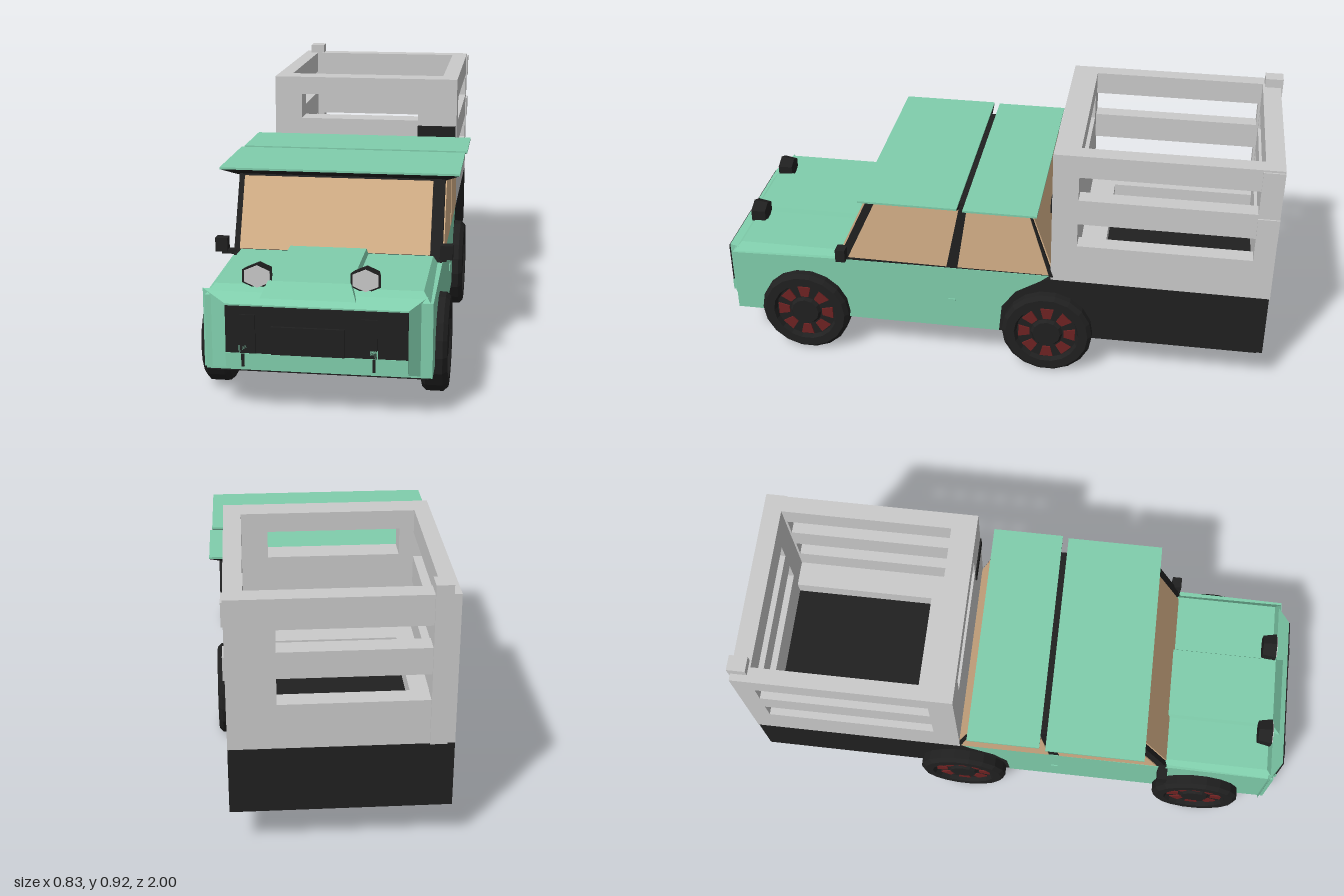
import * as THREE from 'three';

const mat = (name, color) => {
  const m = new THREE.MeshStandardMaterial({ color });
  m.name = name;
  return m;
};

export function createModel() {
  const green = mat('mint paint', 0x80ceac);
  const black = mat('black trim', 0x202020);
  const tan = mat('tan glass', 0xd6b188);
  const grey = mat('light grey', 0xcacaca);
  const red = mat('dark red', 0x6e2222);

  const truck = new THREE.Group();
  truck.name = 'pickupTruck';

  const add = (name, geometry, material, parent = truck) => {
    const mesh = new THREE.Mesh(geometry, material);
    mesh.name = name;
    parent.add(mesh);
    return mesh;
  };
  const facet = (g) => {
    const f = g.index ? g.toNonIndexed() : g;
    f.computeVertexNormals();
    return f;
  };
  // box given by its limits
  const box = (name, x0, x1, y0, y1, z0, z1, material, parent) => {
    const g = new THREE.BoxGeometry(x1 - x0, y1 - y0, z1 - z0);
    g.translate((x0 + x1) / 2, (y0 + y1) / 2, (z0 + z1) / 2);
    return add(name, g, material, parent);
  };
  // tapered block between rectangles [a0, a1, b0, b1] at two positions on an axis
  const loft = (name, axis, p0, rect0, p1, rect1, material) => {
    const g = new THREE.BoxGeometry(1, 1, 1);
    const p = g.attributes.position;
    for (let i = 0; i < p.count; i++) {
      const x = p.getX(i), y = p.getY(i), z = p.getZ(i);
      const along = axis === 'y' ? y : z, other = axis === 'y' ? z : y;
      const r = along > 0 ? rect1 : rect0, pos = along > 0 ? p1 : p0;
      const a = x > 0 ? r[1] : r[0], b = other > 0 ? r[3] : r[2];
      if (axis === 'y') p.setXYZ(i, a, pos, b);
      else p.setXYZ(i, a, b, pos);
    }
    return add(name, facet(g), material);
  };
  const polygon = (pts) => new THREE.Shape(pts.map((p) => new THREE.Vector2(p[0], p[1])));
  const rect = (a0, a1, b0, b1) => polygon([[a0, b0], [a1, b0], [a1, b1], [a0, b1]]);
  const extrude = (shape, depth) => new THREE.ExtrudeGeometry(shape, { depth, bevelEnabled: false });
  // side profile in (z, y), extruded between x0 and x1
  const profile = (name, shape, x0, x1, material) => {
    const g = extrude(shape, x1 - x0);
    g.rotateY(-Math.PI / 2);
    g.translate(x1, 0, 0);
    return add(name, g, material);
  };

  // lower body and rear chassis
  profile('body', polygon([[0.95, 0.142], [0.95, 0.385], [0.55, 0.395], [-0.22, 0.4],
    [-0.19, 0.375], [-0.1, 0.32], [-0.05, 0.25], [-0.04, 0.142]]), -0.357, 0.357, green);
  profile('rearChassis', polygon([[-0.04, 0.142], [-0.05, 0.25], [-0.1, 0.32], [-0.19, 0.375],
    [-0.22, 0.385], [-0.99, 0.382], [-0.99, 0.148]]), -0.355, 0.355, black);
  box('underbody', -0.345, 0.345, 0.138, 0.143, -0.97, 0.95, black);
  for (const s of [-1, 1]) box('doorLock', s * 0.358 - 0.003, s * 0.358 + 0.003, 0.24, 0.265, 0.12, 0.145, green);

  // hood with raised middle
  loft('hood', 'y', 0.383, [-0.357, 0.35, 0.5, 0.95], 0.415, [-0.33, 0.325, 0.5, 0.92], green);
  loft('hoodScoop', 'y', 0.385, [-0.18, 0.12, 0.52, 0.965], 0.432, [-0.16, 0.1, 0.52, 0.93], green);

  // nose, grille and bumper
  loft('nose', 'z', 0.93, [-0.368, 0.34, 0.14, 0.4], 0.985, [-0.285, 0.285, 0.162, 0.37], green);
  box('grille', -0.285, 0.285, 0.213, 0.365, 0.97, 0.99, black);
  box('grilleCentre', -0.14, 0.09, 0.215, 0.305, 0.985, 1, black);
  for (const x of [-0.24, 0.14]) box('grilleBlock', x, x + 0.05, 0.215, 0.34, 0.985, 0.996, black);
  box('bumper', -0.285, 0.285, 0.168, 0.213, 0.97, 0.992, green);
  for (const x of [-0.23, 0.18]) {
    box('bumperGap', x - 0.005, x + 0.005, 0.17, 0.213, 0.985, 0.995, black);
    box('bumperBracket', x - 0.012, x + 0.012, 0.213, 0.24, 0.985, 0.996, green);
  }

  // hexagonal headlights on the hood
  for (const x of [-0.195, 0.145]) {
    const lamp = new THREE.Group();
    lamp.name = 'headlight';
    lamp.position.set(x, 0.443, 0.9);
    truck.add(lamp);
    const shell = new THREE.CylinderGeometry(0.042, 0.034, 0.05, 6).rotateX(Math.PI / 2);
    const lens = new THREE.CylinderGeometry(0.036, 0.036, 0.006, 6).rotateX(Math.PI / 2);
    shell.scale(1.3, 1, 1);
    lens.scale(1.3, 1, 1);
    add('headlightShell', facet(shell), black, lamp);
    add('headlightLens', facet(lens), grey, lamp).position.z = 0.025;
    box('headlightFoot', -0.03, 0.03, -0.043, -0.02, -0.02, 0.02, black, lamp);
  }

  // cabin frame
  profile('cabinFrame', polygon([[0.55, 0.395], [0.43, 0.655], [-0.15, 0.655], [-0.235, 0.395]]),
    -0.355, 0.355, black);
  profile('windscreen', polygon([[0.535, 0.418], [0.546, 0.418], [0.44, 0.648], [0.429, 0.648]]),
    -0.335, 0.315, tan);
  profile('rearWindow', polygon([[-0.225, 0.41], [-0.148, 0.648], [-0.156, 0.648], [-0.236, 0.41]]),
    -0.345, 0.345, tan);
  for (const s of [-1, 1]) {
    const x0 = s * 0.356 - 0.003, x1 = s * 0.356 + 0.003;
    profile('frontSideWindow', polygon([[0.512, 0.408], [0.4, 0.652], [0.1, 0.655], [0.15, 0.405]]), x0, x1, tan);
    profile('rearSideWindow', polygon([[0.11, 0.405], [0.072, 0.655], [-0.145, 0.652], [-0.218, 0.405]]), x0, x1, tan);
  }
  // door mirrors
  for (const [x, s] of [[-0.398, -1], [0.37, 1]]) {
    box('mirror', x - 0.021, x + 0.021, 0.405, 0.453, 0.515, 0.55, black);
    box('mirrorArm', Math.min(x, s * 0.345), Math.max(x, s * 0.345), 0.397, 0.412, 0.52, 0.545, black);
  }

  // two roof panels over flared dark undersides
  for (const [z0, z1, shift] of [[-0.18, 0.078, 0], [0.1, 0.45, -0.007]]) {
    const back = z0 < 0 ? 0.03 : 0, front = z0 < 0 ? 0 : 0.03;
    const wide = [-0.415 + shift, 0.412 + shift, z0, z1];
    loft('roofUnderside', 'y', 0.645, [-0.35, 0.35, z0 + back, z1 - front], 0.67, wide, black);
    loft('roofPanel', 'y', 0.67, wide, 0.677, wide, green);
  }
  box('roofSeam', -0.345, 0.345, 0.645, 0.665, 0.07, 0.11, black);

  // slatted cargo bed
  const panel = (a0, a1, holes) => {
    const shape = rect(a0, a1, 0.38, 0.892);
    for (const h of holes) shape.holes.push(rect(...h));
    return shape;
  };
  const sidePanel = panel(-0.99, -0.225, [[-0.92, -0.315, 0.72, 0.81], [-0.92, -0.315, 0.535, 0.625]]);
  profile('bedSide', sidePanel, -0.355, -0.3, grey);
  profile('bedSide', sidePanel, 0.295, 0.355, grey);
  const frontPanel = extrude(panel(-0.355, 0.355, [[-0.25, 0.205, 0.73, 0.825]]), 0.09);
  add('bedFront', frontPanel.translate(0, 0, -0.315), grey);
  const rearPanel = extrude(panel(-0.355, 0.355, [[-0.285, 0.2, 0.715, 0.79], [-0.285, 0.2, 0.535, 0.625]]), 0.065);
  add('bedRear', rearPanel.translate(0, 0, -0.993), grey);
  box('cornerPost', -0.33, -0.275, 0.38, 0.925, -1, -0.935, grey);
  box('bedFloor', -0.3, 0.3, 0.375, 0.392, -0.95, -0.3, black);
  box('bedLedge', -0.31, -0.237, 0.38, 0.45, -0.95, -0.3, grey);
  box('bedLedge', 0.2, 0.31, 0.38, 0.45, -0.95, -0.3, grey);
  box('bedLedge', -0.3, 0.3, 0.38, 0.45, -0.405, -0.3, grey);
  box('bedFrontPlate', 0.205, 0.352, 0.66, 0.71, -0.227, -0.22, black);
  for (const y of [0.805, 0.625]) box('slatEnd', 0.35, 0.361, y, y + 0.08, -0.993, -0.92, grey);

  // wheels: tyre with recessed face, hub and red spoke gaps
  const tyreProfile = [[0, -0.042], [0.15, -0.042], [0.164, -0.028], [0.164, 0.028], [0.15, 0.042],
    [0.118, 0.042], [0.11, 0.025], [0, 0.025]].map((p) => new THREE.Vector2(p[0], p[1]));
  const tyre = facet(new THREE.LatheGeometry(tyreProfile, 18));
  const hub = facet(new THREE.CylinderGeometry(0.05, 0.06, 0.014, 12));
  const wedge = extrude(polygon([[-0.014, 0.062], [0.014, 0.062], [0.024, 0.103], [-0.024, 0.103]]), 0.006);
  wedge.rotateX(-Math.PI / 2);
  const wheel = (x, z) => {
    const g = new THREE.Group();
    g.name = 'wheel';
    add('tyre', tyre, black, g);
    add('hub', hub, black, g).position.y = 0.03;
    for (let i = 0; i < 8; i++) {
      const w = add('rimInsert', wedge, red, g);
      w.position.y = 0.024;
      w.rotation.y = (i * Math.PI) / 4;
    }
    g.rotation.z = x > 0 ? -Math.PI / 2 : Math.PI / 2;
    g.position.set(x, 0.168, z);
    truck.add(g);
  };
  for (const z of [0.682, -0.218]) {
    wheel(0.352, z);
    wheel(-0.362, z);
  }
  return truck;
}
